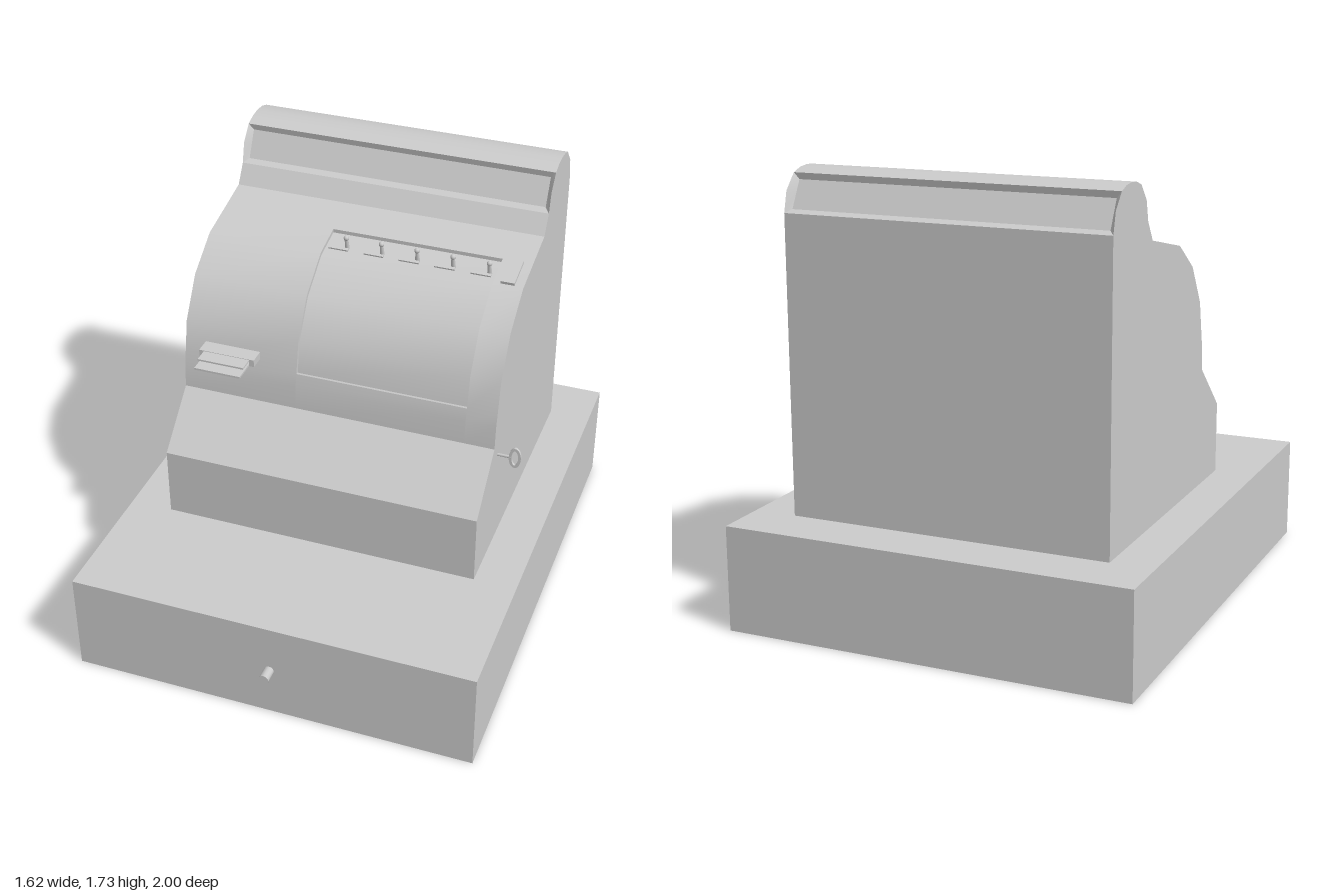
import * as THREE from 'three';
import { toCreasedNormals } from 'three/addons/utils/BufferGeometryUtils.js';

const W = 0.64; // half width of the cabinet
const mat = new THREE.MeshStandardMaterial({ color: 0xcccccc, side: THREE.DoubleSide });

// Surface between two rails of 3D points, smooth except at sharp corners
function ribbon(a, b) {
  const pos = [], idx = [];
  a.forEach((p, i) => {
    pos.push(...p, ...b[i]);
    if (i) idx.push(2 * i - 2, 2 * i - 1, 2 * i + 1, 2 * i - 2, 2 * i + 1, 2 * i);
  });
  const g = new THREE.BufferGeometry();
  g.setAttribute('position', new THREE.Float32BufferAttribute(pos, 3));
  g.setIndex(idx);
  return toCreasedNormals(g, 0.6);
}
const rail = (x, pts) => pts.map(([z, y]) => [x, y, z]);
const sweep = (pts, x0, x1) => ribbon(rail(x0, pts), rail(x1, pts));

export function createModel() {
  const root = new THREE.Group();
  const add = (name, geo, parent = root) => {
    const m = new THREE.Mesh(geo, mat);
    m.name = name;
    parent.add(m);
    return m;
  };
  const group = (name) => {
    const g = new THREE.Group();
    g.name = name;
    root.add(g);
    return g;
  };
  const box = (name, x0, x1, y0, y1, z0, z1, parent) =>
    add(name, new THREE.BoxGeometry(x1 - x0, y1 - y0, z1 - z0), parent)
      .position.set((x0 + x1) / 2, (y0 + y1) / 2, (z0 + z1) / 2);

  // Drawer base, open underneath
  const base = new THREE.BoxGeometry(1.62, 0.415, 1.945);
  const index = Array.from(base.index.array);
  index.splice(18, 6);
  base.setIndex(index);
  base.clearGroups();
  add('drawerBase', base).position.set(0, 0.2075, -0.0275);

  // Drawer knob, passing through the front
  const knob = add('drawerKnob', new THREE.CylinderGeometry(0.02, 0.02, 0.11, 12));
  knob.rotation.x = Math.PI / 2;
  knob.position.set(0, 0.21, 0.945);

  // Cabinet profile as [z, y], front bottom over the top to back bottom
  const lower = [[0.41, 0.135], [0.41, 0.7], [0.2, 0.89]];
  const recessed = [[0.182, 1.04], [0.155, 1.17], [0.055, 1.325], [-0.1, 1.43], [-0.24, 1.46]];
  const curve = [[0.2, 0.89], [0.193, 0.99], ...recessed, [-0.4, 1.495]];
  const sill = [-0.45, 1.57], bulge = [-0.47, 1.65], lip = [-0.525, 1.71];
  const panel = [[-0.475, 1.582], [-0.53, 1.685]];
  const flip = ([z, y]) => [-1.24 - z, y];
  const backSill = flip(sill), backLip = flip(lip);
  const crown = [lip, [-0.57, 1.725], [-0.62, 1.73], [-0.67, 1.725], backLip];

  const cabinet = group('cabinet');
  add('lowerFront', sweep(lower, -W, W), cabinet);
  add('neck', sweep([curve.at(-1), sill], -W, W), cabinet);
  add('crown', sweep(crown, -W, W), cabinet);
  add('back', sweep([backSill, [-0.79, 0.135]], -W, W), cabinet);

  // Curved front with a shallow recess for the key panel
  const x0 = -0.17, x1 = 0.52;
  const floor = recessed.map(([z, y]) => {
    const d = new THREE.Vector2(-0.25 - z, 0.95 - y).setLength(0.015);
    return [z + d.x, y + d.y];
  });
  add('curvedFrontRight', sweep(curve, -W, x0), cabinet);
  add('curvedFrontLeft', sweep(curve, x1, W), cabinet);
  add('keyPanel', sweep([curve[0], curve[1], recessed[0], ...floor, recessed.at(-1), curve.at(-1)], x0, x1), cabinet);
  for (const x of [x0, x1]) add('keyPanelEdge', ribbon(rail(x, recessed), rail(x, floor)), cabinet);

  // Sunken display windows, front and back
  const inner = W - 0.02;
  for (const f of [(p) => p, flip]) {
    const [s, b, l] = [sill, bulge, lip].map(f), [c, d] = panel.map(f);
    const mid = [(c[0] + d[0]) / 2, (c[1] + d[1]) / 2];
    const edge = (k) => [[k * W, s[1], s[0]], ...rail(k * inner, [c, d]), [k * W, l[1], l[0]]];
    const order = f === flip ? [1, -1] : [-1, 1];
    add('displayWindow', ribbon(edge(order[0]), edge(order[1])), cabinet);
    for (const k of [-1, 1])
      add('displayWindowEnd', ribbon(rail(k * W, [s, b, l]), rail(k * inner, [c, mid, d])), cabinet);
  }

  // Flat side walls
  const outline = [...lower, ...curve.slice(1), sill, bulge, ...crown, flip(bulge), backSill, [-0.79, 0.135]];
  for (const k of [-1, 1]) {
    const shape = new THREE.Shape(outline.map(([z, y]) => new THREE.Vector2(-k * z, y)));
    const side = add('sideWall', new THREE.ShapeGeometry(shape).rotateY(k * Math.PI / 2), cabinet);
    side.position.x = k * W;
  }

  // Row of levers, each with a thin foot beside it
  const tilt = Math.atan2(0.065, 0.3);
  for (let i = 0; i < 5; i++) {
    const lever = group('lever');
    lever.position.set(-0.085 + i * 0.144, 1.435, -0.165);
    lever.rotation.x = tilt;
    add('leverStem', new THREE.CylinderGeometry(0.007, 0.01, 0.05, 8), lever).position.y = 0.02;
    add('leverTip', new THREE.SphereGeometry(0.011, 8, 6), lever).position.y = 0.046;
    add('leverFoot', new THREE.BoxGeometry(0.08, 0.006, 0.014), lever).position.set(-0.03, 0, 0.015);
  }

  // Flat push button beside the levers
  const button = add('pushButton', new THREE.BoxGeometry(0.055, 0.016, 0.13));
  button.position.set(0.577, 1.449, -0.17);
  button.rotation.x = tilt;

  // Receipt outlet: an open mouth with two tongues
  const outlet = group('receiptOutlet');
  box('outletTop', -0.555, -0.325, 1.09, 1.1, 0.14, 0.235, outlet);
  box('outletBottom', -0.555, -0.325, 1.07, 1.08, 0.14, 0.235, outlet);
  box('outletCheek', -0.555, -0.535, 1.08, 1.09, 0.14, 0.235, outlet);
  box('outletCheek', -0.345, -0.325, 1.08, 1.09, 0.14, 0.235, outlet);
  box('upperTongue', -0.535, -0.345, 1.091, 1.098, 0.23, 0.295, outlet);
  box('lowerTongue', -0.535, -0.345, 1.071, 1.079, 0.23, 0.33, outlet);

  // Side key with an oval ring
  const key = group('sideKey');
  key.position.set(0.64, 0.83, 0.145);
  const stem = add('keyStem', new THREE.CylinderGeometry(0.006, 0.006, 0.06, 8), key);
  stem.rotation.z = Math.PI / 2;
  stem.position.x = 0.025;
  const oval = new THREE.Shape().absellipse(0.069, 0, 0.024, 0.045, 0, Math.PI * 2);
  oval.holes.push(new THREE.Path().absellipse(0.069, 0, 0.013, 0.033, 0, Math.PI * 2));
  add('keyRing', new THREE.ExtrudeGeometry(oval, { depth: 0.01, bevelEnabled: false, curveSegments: 16 }), key)
    .position.z = -0.005;

  return root;
}
